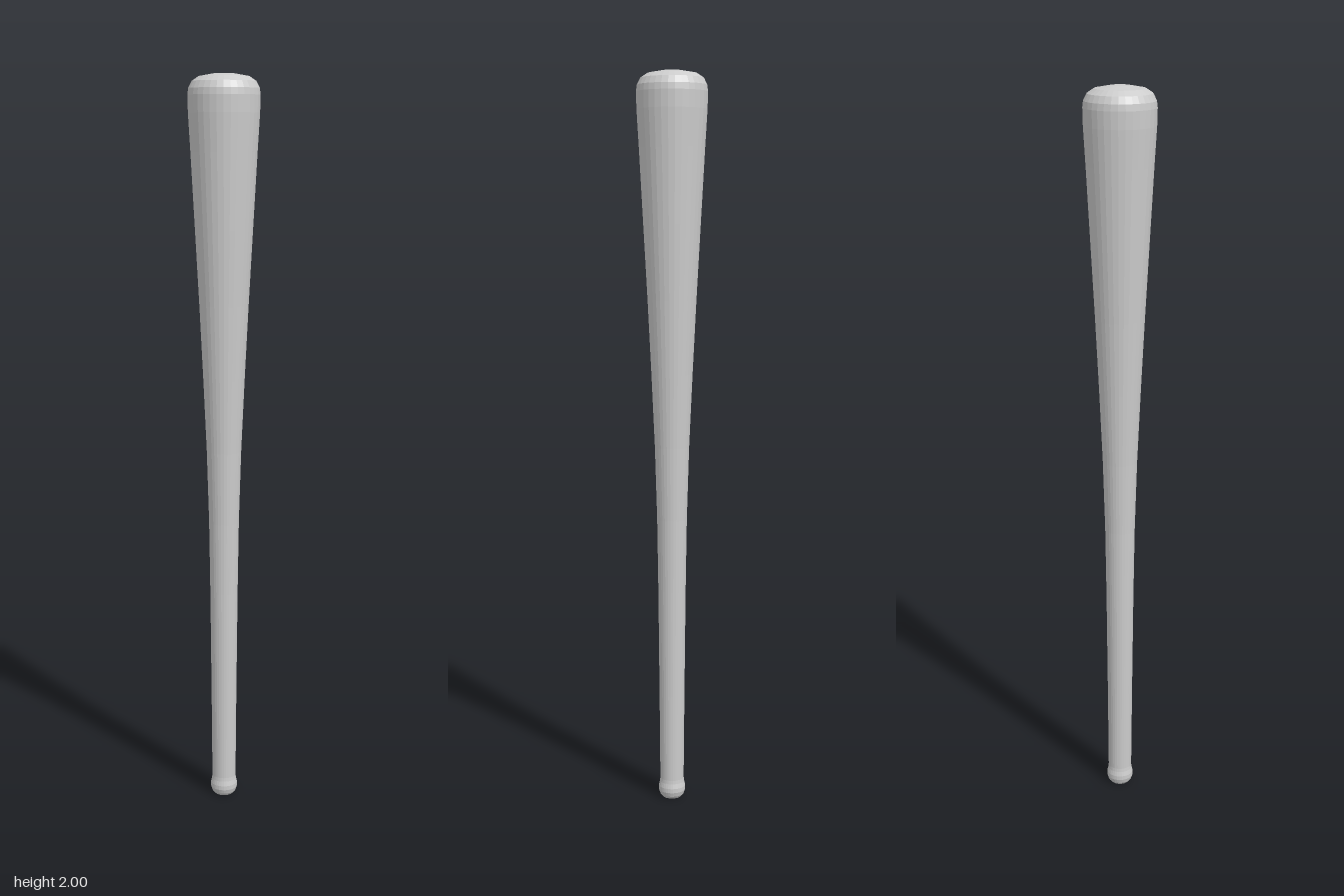
import * as THREE from 'three';

export function createModel() {
  const group = new THREE.Group();
  group.name = 'bat';
  const material = new THREE.MeshStandardMaterial({ color: 0xcccccc, flatShading: true });

  // Each part is a turned section: [radius, height] from bottom to top
  const turned = (name, profile) => {
    const points = profile.map(([r, y]) => new THREE.Vector2(r, y));
    const mesh = new THREE.Mesh(new THREE.LatheGeometry(points, 32), material);
    mesh.name = name;
    group.add(mesh);
  };

  // Rounded knob at the foot of the grip
  turned('knob', [[0, 0], [0.026, 0], [0.033, 0.008], [0.037, 0.02], [0.037, 0.032], [0.034, 0.045], [0.033, 0.055]]);

  // Slim grip, nearly straight
  turned('grip', [[0.033, 0.055], [0.035, 0.3], [0.038, 0.6]]);

  // Barrel widening to the shoulder
  turned('barrel', [[0.038, 0.6], [0.041, 0.8], [0.047, 1.0], [0.056, 1.2], [0.066, 1.4], [0.077, 1.6], [0.088, 1.8], [0.094, 1.9], [0.095, 1.945]]);

  // Domed end
  turned('endCap', [[0.095, 1.945], [0.093, 1.962], [0.084, 1.98], [0.066, 1.992], [0.027, 1.999], [0, 2]]);

  return group;
}
